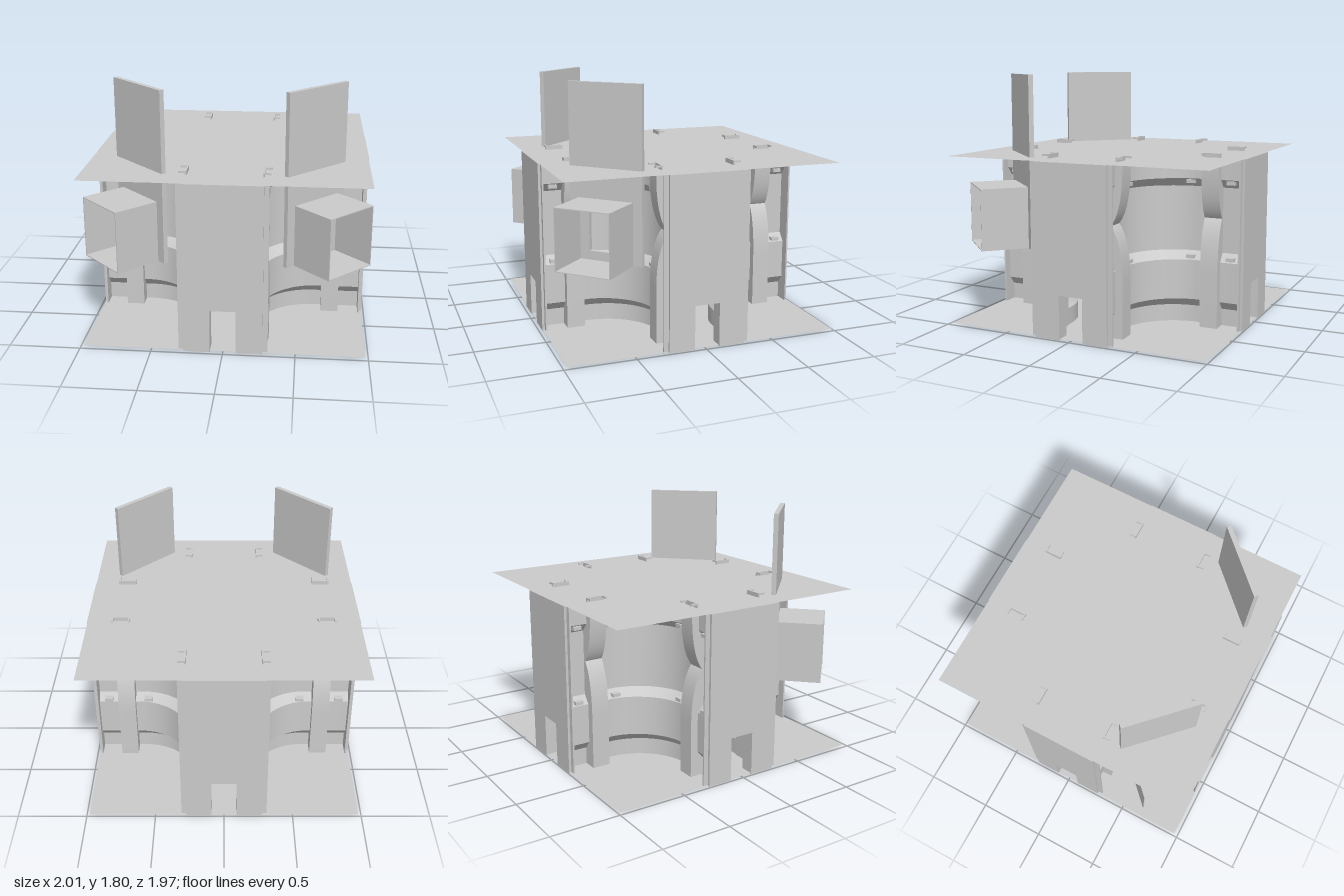
import * as THREE from 'three';
import { toCreasedNormals } from 'three/addons/utils/BufferGeometryUtils.js';

const grey = new THREE.MeshStandardMaterial({ color: 0xcccccc, side: THREE.DoubleSide });

function add(parent, name, geometry, x = 0, y = 0, z = 0) {
  const mesh = new THREE.Mesh(geometry, grey);
  mesh.name = name;
  mesh.position.set(x, y, z);
  parent.add(mesh);
  return mesh;
}

function box(parent, name, w, h, d, x, y, z) {
  return add(parent, name, new THREE.BoxGeometry(w, h, d), x, y, z);
}

// Upright plate with a doorway cut in its lower edge
function doorPlate(half, depth) {
  const s = new THREE.Shape();
  [[-half, 0], [-0.09, 0], [-0.09, 0.315], [0.09, 0.315], [0.09, 0],
    [half, 0], [half, 1.225], [-half, 1.225]]
    .forEach(([x, y], i) => (i ? s.lineTo(x, y) : s.moveTo(x, y)));
  return new THREE.ExtrudeGeometry(s, { depth, bevelEnabled: false });
}

// Rib on an arm side: two convex lobes that meet in a cusp
function ribGeometry(side) {
  const s = new THREE.Shape();
  s.moveTo(side * 0.19, 0);
  s.lineTo(side * 0.305, 0);
  s.lineTo(side * 0.305, 0.42);
  s.quadraticCurveTo(side * 0.3, 0.68, side * 0.22, 0.79);
  s.quadraticCurveTo(side * 0.3, 0.9, side * 0.305, 1.16);
  s.lineTo(side * 0.305, 1.225);
  s.lineTo(side * 0.19, 1.225);
  const geo = new THREE.ExtrudeGeometry(s, { depth: 0.13, bevelEnabled: false, curveSegments: 14 });
  return toCreasedNormals(geo, 0.5);
}

// Concave bay wall: rows of [height, inset], swept along straight, arc, straight.
// The raised bands are slightly flatter in plan.
function bayGeometry() {
  const rows = [[0, 0], [0.13, 0], [0.19, 0.05], [0.48, 0.05], [0.54, 0],
    [1.01, 0], [1.07, 0.05], [1.225, 0.05]];
  const arc = 24, c = 0.62;
  const geo = new THREE.PlaneGeometry(1, 1, arc + 2, rows.length - 1);
  const pos = geo.attributes.position;
  rows.forEach(([y, inset], j) => {
    for (let i = 0; i <= arc + 2; i++) {
      const a = THREE.MathUtils.clamp((i - 1) / arc, 0, 1) * Math.PI / 2;
      const r = 0.42 - inset * (1 + 0.3 * Math.sin(2 * a));
      const x = i === 0 ? 0.96 : c - r * Math.sin(a);
      const z = i === arc + 2 ? 0.96 : c - r * Math.cos(a);
      pos.setXYZ(j * (arc + 3) + i, x, y, z);
    }
  });
  geo.computeVertexNormals();
  return toCreasedNormals(geo, 0.5);
}

// One arm of the cross-shaped body, pointing along +z
function makeArm() {
  const arm = new THREE.Group();
  arm.name = 'arm';
  add(arm, 'endWall', doorPlate(0.31, 0.012), 0, 0, 0.955);
  add(arm, 'endCover', doorPlate(0.275, 0.018), 0, 0, 0.967);
  box(arm, 'doorLintel', 0.22, 0.02, 0.07, 0, 0.325, 0.92);
  for (const s of [-1, 1]) {
    box(arm, 'doorJamb', 0.02, 0.315, 0.07, s * 0.1, 0.1575, 0.92);
    add(arm, 'rib', ribGeometry(s), 0, 0, 0.675);
    // thin staple over the deck, open outward
    box(arm, 'stapleWeb', 0.012, 0.03, 0.13, s * 0.262, 1.242, 0.74);
    for (const z of [0.681, 0.799])
      box(arm, 'stapleEnd', 0.05, 0.014, 0.012, s * 0.287, 1.25, z);
    // small brackets on the sloping bands
    for (const z of [0.58, 0.88])
      for (const y of [0.505, 1.05])
        box(arm, 'bracket', 0.04, 0.025, 0.06, s * 0.245, y, z);
  }
  return arm;
}

// Diagonal tall panel with an opening and an open box in front of it
function makeCornerUnit() {
  const unit = new THREE.Group();
  unit.name = 'cornerUnit';
  const s = new THREE.Shape();
  s.moveTo(-0.275, 0.57);
  s.lineTo(0.275, 0.57);
  s.lineTo(0.275, 1.8);
  s.lineTo(-0.275, 1.8);
  const hole = new THREE.Path();
  hole.moveTo(-0.13, 0.64);
  hole.lineTo(-0.13, 0.95);
  hole.lineTo(0.13, 0.95);
  hole.lineTo(0.13, 0.64);
  s.holes.push(hole);
  add(unit, 'tallPanel',
    new THREE.ExtrudeGeometry(s, { depth: 0.034, bevelEnabled: false }), 0, 0, 0.83);
  for (const k of [-1, 1]) {
    box(unit, 'boxSide', 0.006, 0.44, 0.34, k * 0.203, 0.79, 1.03);
    box(unit, 'boxCover', 0.406, 0.006, 0.34, 0, 0.79 + k * 0.217, 1.03);
  }
  return unit;
}

export function createModel() {
  const model = new THREE.Group();
  model.name = 'stage';
  const body = new THREE.Group();
  body.name = 'body';
  body.position.z = -0.01;
  model.add(body);

  // Floor and deck sheets
  for (const [name, y] of [['floor', 0.008], ['deck', 1.227]])
    add(body, name, new THREE.PlaneGeometry(1.96, 1.96), 0, y, 0).rotation.x = -Math.PI / 2;

  // Four arms and four bays
  for (let k = 0; k < 4; k++) {
    const arm = makeArm();
    arm.rotation.y = k * Math.PI / 2;
    body.add(arm);
    add(body, 'bayWall', bayGeometry()).rotation.y = k * Math.PI / 2;
  }

  // Units on the two front corners, set slightly off the diagonal
  for (const s of [-1, 1]) {
    const unit = makeCornerUnit();
    unit.rotation.y = s * Math.PI / 4;
    unit.position.set(s * 0.009, 0, -0.009);
    body.add(unit);
  }
  return model;
}
